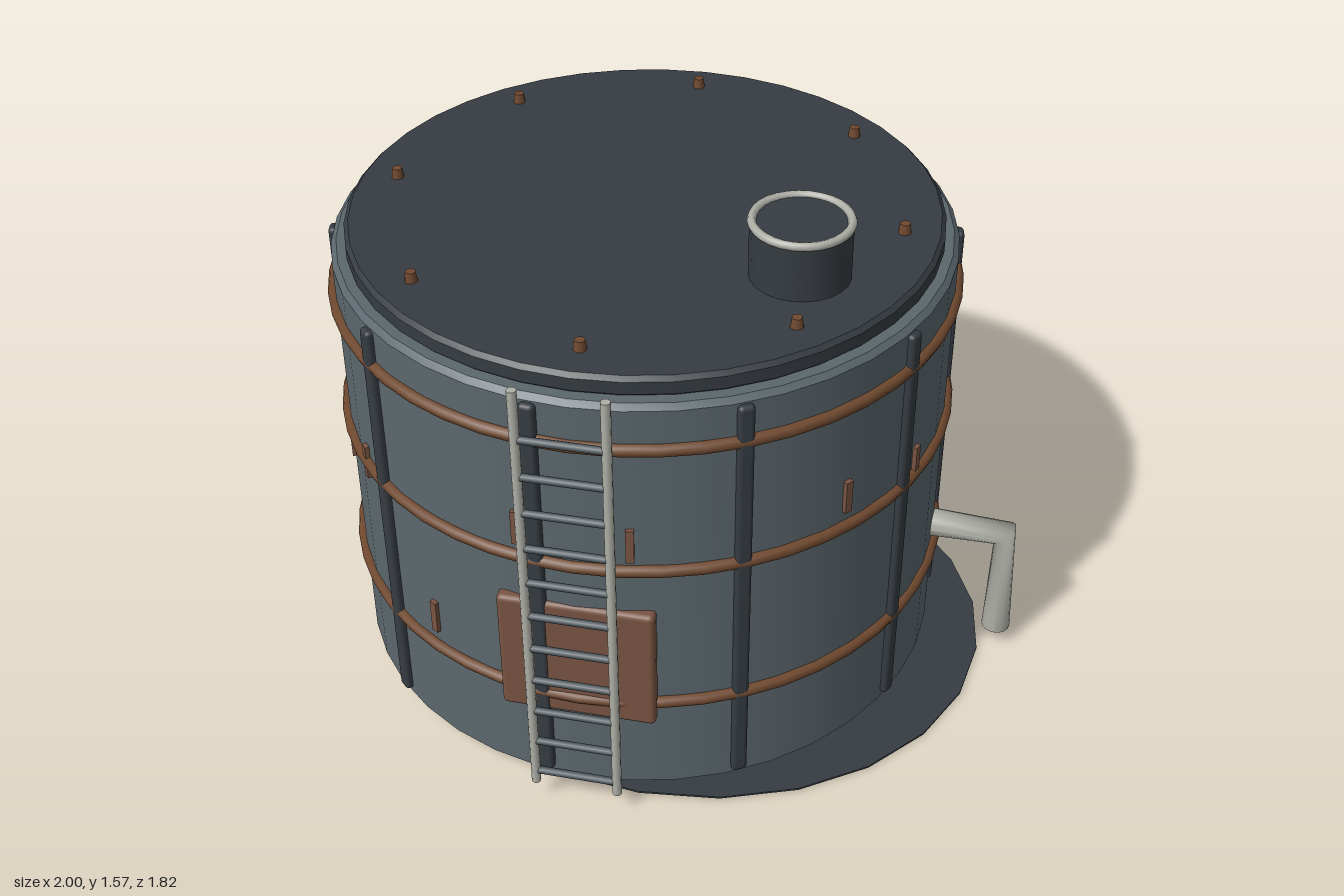
import * as THREE from 'three';
import { toCreasedNormals } from 'three/addons/utils/BufferGeometryUtils.js';
import { RoundedBoxGeometry } from 'three/addons/geometries/RoundedBoxGeometry.js';

const mat = (name, color) => {
  const m = new THREE.MeshStandardMaterial({ color });
  m.name = name;
  return m;
};

// Vertical drum with small bevels on both rims
function drum(r, y0, y1, bevel, segments) {
  const profile = [
    [0, y0], [r - bevel, y0], [r, y0 + bevel], [r, y1 - bevel], [r - bevel, y1], [0, y1],
  ].map(([x, y]) => new THREE.Vector2(x, y));
  return toCreasedNormals(new THREE.LatheGeometry(profile, segments), 0.5);
}

// Mitred outlet pipe: three rings run outwards, then turn down
function elbowPipe(r) {
  const s = Math.SQRT1_2;
  const rings = [
    { c: [0.72, 0.42], v: [0, 1] },
    { c: [0.952, 0.412], v: [s, s] },
    { c: [0.957, 0.055], v: [1, 0] },
  ];
  const g = new THREE.CylinderGeometry(r, r, 1, 16, 2);
  const p = g.attributes.position;
  for (let i = 0; i < p.count; i++) {
    const { c, v } = rings[Math.round((0.5 - p.getY(i)) * 2)];
    const x = p.getX(i);
    p.setXYZ(i, c[0] + x * v[0], c[1] + x * v[1], p.getZ(i));
  }
  g.computeVertexNormals();
  return g;
}

export function createModel() {
  const steel = mat('slate steel', 0x5b676d);
  const dark = mat('dark steel', 0x363c42);
  const rust = mat('rusty iron', 0x70492f);
  const patchRust = mat('rust patch', 0x795442);
  const pale = mat('pale metal', 0xaeb0a7);
  const rungSteel = mat('rung steel', 0x4b555b);

  const model = new THREE.Group();
  model.name = 'storageTank';
  const tank = new THREE.Group();
  tank.name = 'tank';
  tank.position.set(-0.12, 0, -0.03);
  model.add(tank);

  const add = (parent, name, geometry, material, x = 0, y = 0, z = 0) => {
    const m = new THREE.Mesh(geometry, material);
    m.name = name;
    m.position.set(x, y, z);
    parent.add(m);
    return m;
  };
  // Place a part on the wall, angle measured from the front towards +x
  const addOnWall = (name, geometry, material, degrees, r, y) => {
    const a = THREE.MathUtils.degToRad(degrees);
    const m = add(tank, name, geometry, material, Math.sin(a) * r, y, Math.cos(a) * r);
    m.rotation.y = a;
    return m;
  };

  // Ground plate
  const ground = add(model, 'groundPlate', new THREE.CylinderGeometry(1, 1, 0.006, 24), dark, 0.04, 0.003, 0.04);
  ground.scale.set(0.87, 1, 0.78);

  // Shell and lid
  add(tank, 'shell', drum(0.86, 0.03, 1.34, 0.015, 40), steel);
  add(tank, 'lid', drum(0.82, 1.335, 1.395, 0.012, 40), dark);

  // Hoops
  for (const y of [0.355, 0.82, 1.21]) {
    add(tank, 'hoop', new THREE.TorusGeometry(0.862, 0.018, 8, 48), rust, 0, y, 0).rotation.x = Math.PI / 2;
  }

  // Upright ribs
  const ribGeo = new RoundedBoxGeometry(0.044, 1.26, 0.04, 2, 0.012);
  for (let i = 0; i < 10; i++) addOnWall('rib', ribGeo, dark, -6.6 + 36 * i, 0.857, 0.69);

  // Lid rivets
  const rivetGeo = new THREE.CylinderGeometry(0.014, 0.018, 0.03, 10);
  for (let i = 0; i < 8; i++) addOnWall('rivet', rivetGeo, rust, 45 * i, 0.711, 1.408);

  // Rust streaks: [angle, centre height, length]
  const streaks = [
    [-90, 0.165, 0.105], [-70, 0.675, 0.105], [-50, 0.82, 0.105], [-30, 0.463, 0.105],
    [-10, 0.915, 0.105], [10, 0.905, 0.105], [50, 0.92, 0.1], [70, 0.87, 0.085],
  ];
  for (const [angle, y, h] of streaks) {
    addOnWall('rustStreak', new THREE.BoxGeometry(0.022, h, 0.02), patchRust, angle, 0.86, y);
  }

  // Repair patch
  add(tank, 'patch', new RoundedBoxGeometry(0.428, 0.39, 0.045, 2, 0.015), patchRust, 0, 0.487, 0.845);

  // Vent stack with rim
  add(model, 'vent', new THREE.CylinderGeometry(0.135, 0.135, 0.17, 24), dark, 0.35, 1.47, 0.23);
  add(model, 'ventRim', new THREE.TorusGeometry(0.129, 0.012, 8, 28), pale, 0.35, 1.555, 0.23).rotation.x = Math.PI / 2;

  // Outlet pipe
  add(model, 'outletPipe', elbowPipe(0.042), pale, 0, 0, -0.025);

  // Ladder
  const ladder = new THREE.Group();
  ladder.name = 'ladder';
  ladder.position.set(-0.118, 0, 0.893);
  model.add(ladder);
  for (const side of [-1, 1]) {
    add(ladder, 'ladderRail', new THREE.CylinderGeometry(0.013, 0.013, 1.335, 10), pale, side * 0.115, 0.737, 0);
  }
  const rungGeo = new THREE.CylinderGeometry(0.011, 0.011, 0.235, 8);
  for (let i = 0; i < 11; i++) {
    add(ladder, 'ladderRung', rungGeo, rungSteel, 0, 0.112 + 0.1145 * i, 0).rotation.z = Math.PI / 2;
  }
  return model;
}
